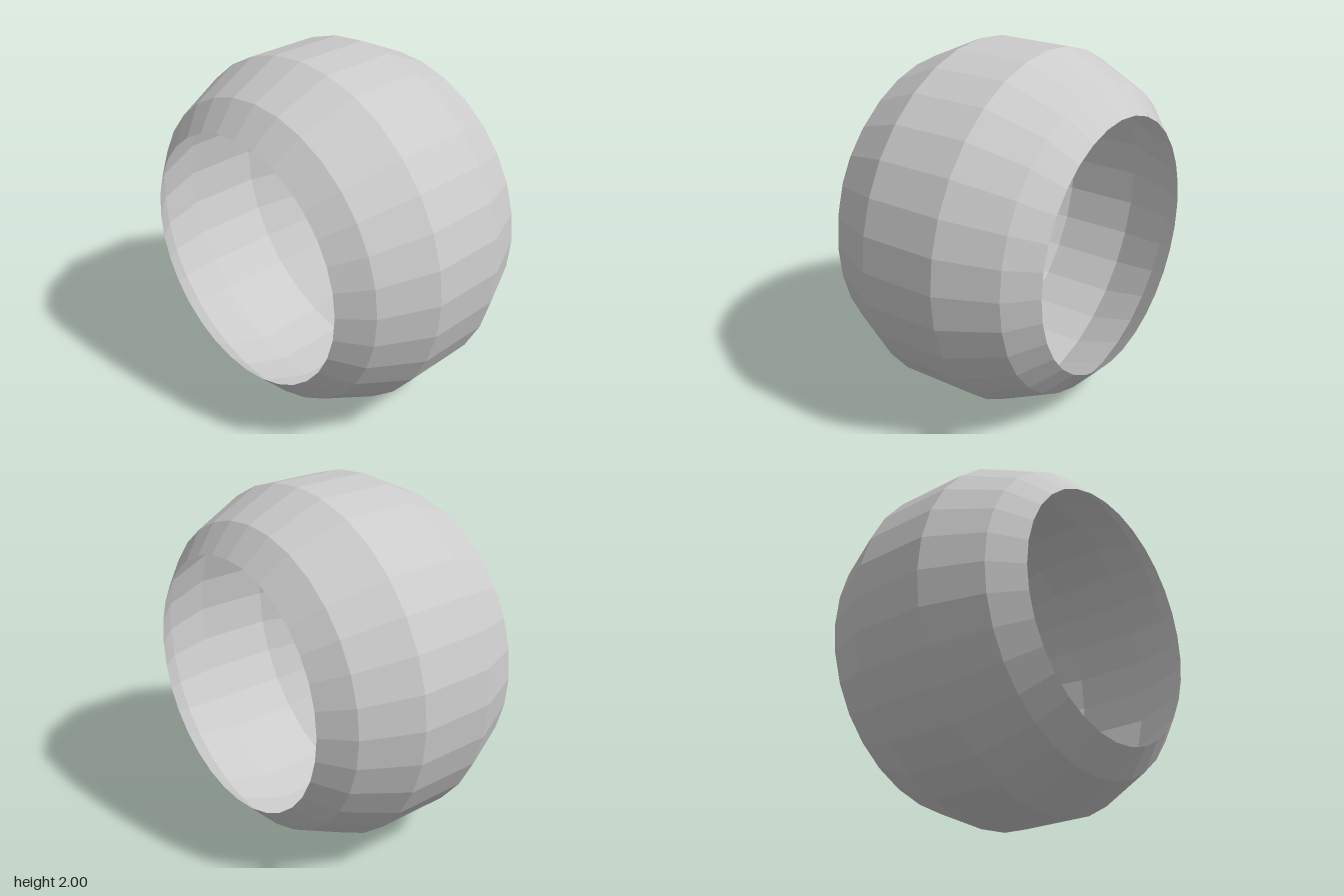
import * as THREE from 'three';

export function createModel() {
  const model = new THREE.Group();

  // Half profile of the hollow bead: [radius, distance from the middle]
  const half = [[0.71, 0.67], [0.86, 0.53], [1, 0.22]];
  const profile = [
    ...half.map(([r, d]) => new THREE.Vector2(r, -d)),
    ...half.slice().reverse().map(([r, d]) => new THREE.Vector2(r, d)),
  ];

  // Thin open shell, its axis laid along x
  const geometry = new THREE.LatheGeometry(profile, 32);
  geometry.rotateZ(-Math.PI / 2);
  const shell = new THREE.Mesh(geometry, new THREE.MeshStandardMaterial({
    color: 0xcccccc, flatShading: true, side: THREE.DoubleSide,
  }));
  shell.name = 'beadShell';
  shell.position.y = 1;
  model.add(shell);

  return model;
}
